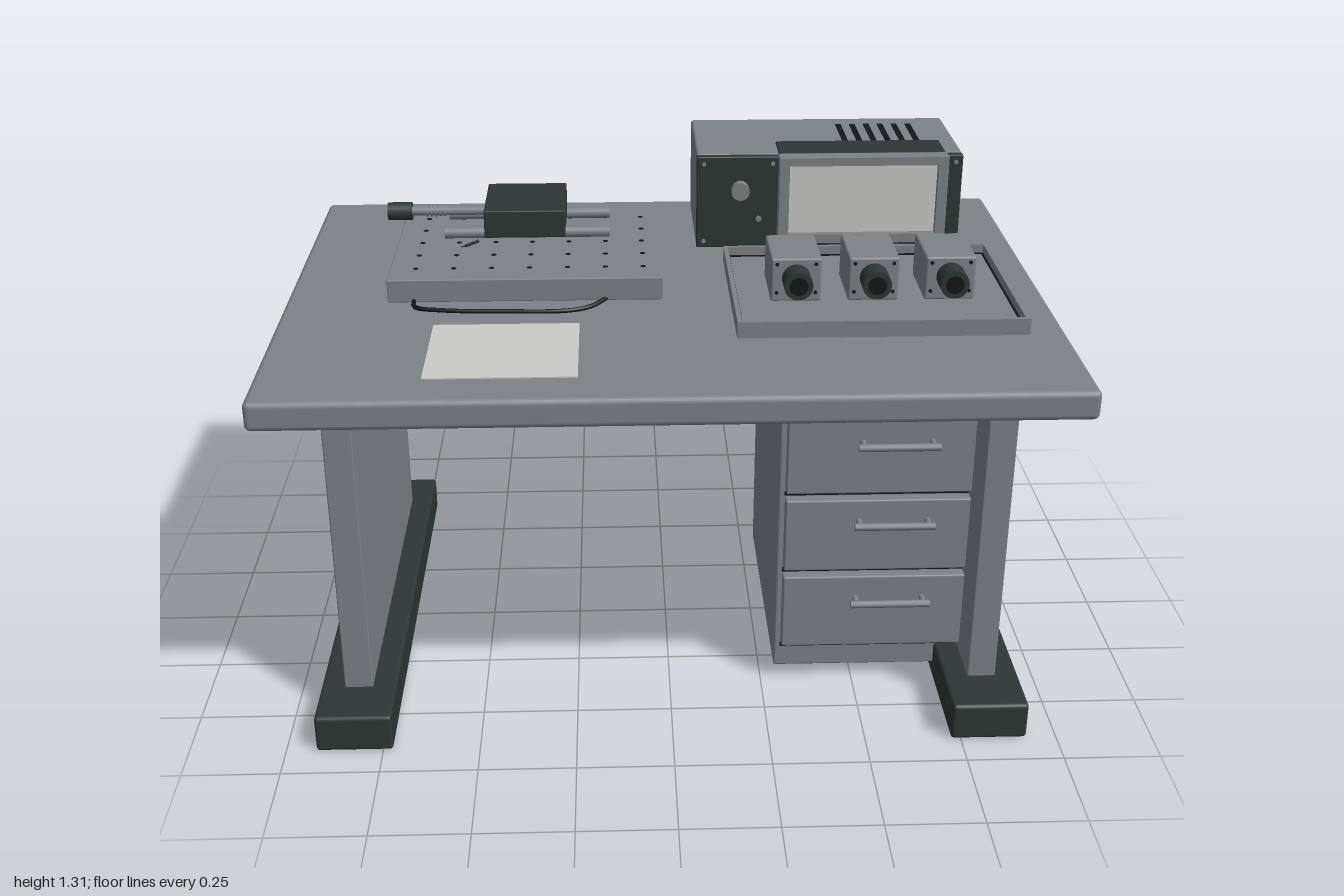
import * as THREE from 'three';
import { RoundedBoxGeometry } from 'three/addons/geometries/RoundedBoxGeometry.js';

const material = (name, color) => {
  const m = new THREE.MeshStandardMaterial({ color });
  m.name = name;
  return m;
};

export function createModel() {
  const model = new THREE.Group();
  model.name = 'electronicsWorkbench';
  const grey = material('steelGrey', 0x7d8287);
  const dark = material('darkGreen', 0x2d3735);
  const black = material('black', 0x121616);
  const white = material('paleGrey', 0xcbcbc9);

  const group = (name) => {
    const g = new THREE.Group();
    g.name = name;
    model.add(g);
    return g;
  };
  const add = (parent, name, geometry, mat) => {
    const mesh = new THREE.Mesh(geometry, mat);
    mesh.name = name;
    parent.add(mesh);
    return mesh;
  };
  // Box from its min and max on each axis, with optional rounded edges
  const box = (parent, name, mat, [x0, x1], [y0, y1], [z0, z1], r = 0) => {
    const s = [x1 - x0, y1 - y0, z1 - z0];
    const g = r ? new RoundedBoxGeometry(...s, 2, r) : new THREE.BoxGeometry(...s);
    const mesh = add(parent, name, g, mat);
    mesh.position.set((x0 + x1) / 2, (y0 + y1) / 2, (z0 + z1) / 2);
    return mesh;
  };
  // Cylinder centred at a point, along the given axis
  const rod = (parent, name, mat, axis, r, length, x, y, z, sides = 20) => {
    const g = new THREE.CylinderGeometry(r, r, length, sides);
    if (axis === 'x') g.rotateZ(Math.PI / 2);
    if (axis === 'z') g.rotateX(Math.PI / 2);
    const mesh = add(parent, name, g, mat);
    mesh.position.set(x, y, z);
    return mesh;
  };
  const tube = (parent, name, points, r) => {
    const curve = new THREE.CatmullRomCurve3(points.map((p) => new THREE.Vector3(...p)));
    return add(parent, name, new THREE.TubeGeometry(curve, 40, r, 8), black);
  };

  // Desk: top, side panels, feet and rear beam
  const desk = group('desk');
  box(desk, 'deskTop', grey, [-1, 1], [0.945, 1.02], [-0.72, 0.72], 0.015);
  for (const s of [-1, 1]) {
    const c = s * 0.823;
    box(desk, 'sidePanel', grey, [c - 0.037, c + 0.037], [0.09, 0.86], [-0.52, 0.52], 0.004);
    box(desk, 'foot', dark, [c - 0.099, c + 0.099], [0, 0.102], [-0.66, 0.66], 0.01);
  }
  box(desk, 'rearBeam', grey, [-0.86, 0.86], [0.705, 0.835], [-0.58, -0.515], 0.004);

  // Drawer cabinet
  const cabinet = group('drawerCabinet');
  box(cabinet, 'cabinetBody', grey, [0.285, 0.89], [0.04, 0.912], [-0.36, 0.36], 0.006);
  for (const [y0, y1, h] of [[0.585, 0.805, 0.735], [0.355, 0.565, 0.505], [0.12, 0.335, 0.27]]) {
    box(cabinet, 'drawerFront', grey, [0.302, 0.875], [y0, y1], [0.355, 0.39], 0.005);
    box(cabinet, 'drawerGap', black, [0.3, 0.877], [y0 - 0.016, y0 - 0.004], [0.358, 0.364]);
    rod(cabinet, 'handleBar', grey, 'x', 0.01, 0.21, 0.585, h, 0.425, 12);
    for (const x of [0.495, 0.675]) rod(cabinet, 'handlePost', grey, 'z', 0.008, 0.04, x, h, 0.405, 10);
  }

  // Measuring instrument: case, front panel and feet
  const scope = group('instrument');
  box(scope, 'case', grey, [0.095, 0.832], [1.037, 1.305], [-0.607, -0.26], 0.008);
  box(scope, 'frontPanel', dark, [0.095, 0.832], [1.04, 1.303], [-0.262, -0.238], 0.004);
  for (const x of [0.2, 0.725]) {
    for (const z of [-0.33, -0.54]) rod(scope, 'rubberFoot', dark, 'y', 0.02, 0.022, x, 1.03, z, 12);
  }
  // Framed display
  const frame = new THREE.Shape();
  frame.moveTo(0.32, 1.065).lineTo(0.785, 1.065).lineTo(0.785, 1.31).lineTo(0.32, 1.31).closePath();
  const opening = new THREE.Path();
  opening.moveTo(0.348, 1.09).lineTo(0.348, 1.287).lineTo(0.757, 1.287).lineTo(0.757, 1.09).closePath();
  frame.holes.push(opening);
  const bezel = new THREE.ExtrudeGeometry(frame, { depth: 0.045, bevelEnabled: false });
  add(scope, 'displayFrame', bezel, grey).position.z = -0.24;
  box(scope, 'screen', white, [0.346, 0.759], [1.088, 1.289], [-0.237, -0.215]);
  box(scope, 'displayHood', dark, [0.322, 0.783], [1.29, 1.311], [-0.36, -0.239], 0.004);
  for (let i = 0; i < 6; i++) {
    const x = 0.52 + i * 0.0405;
    box(scope, 'ventSlot', black, [x - 0.008, x + 0.008], [1.303, 1.307], [-0.54, -0.35]);
  }
  box(scope, 'rearLabel', white, [0.27, 0.66], [1.115, 1.23], [-0.61, -0.605]);
  // Panel controls
  rod(scope, 'controlKnob', grey, 'z', 0.025, 0.03, 0.215, 1.21, -0.226);
  rod(scope, 'indicator', grey, 'z', 0.008, 0.01, 0.268, 1.125, -0.235, 10);
  for (const x of [0.115, 0.305, 0.812]) {
    for (const y of [1.06, 1.283]) rod(scope, 'panelScrew', grey, 'z', 0.006, 0.006, x, y, -0.237, 8);
  }

  // Tray holding three sensor units
  const tray = group('tray');
  box(tray, 'trayFloor', grey, [0.165, 0.895], [1.035, 1.052], [-0.145, 0.408]);
  for (const x of [0.165, 0.883]) box(tray, 'trayRim', grey, [x, x + 0.012], [1.035, 1.078], [-0.145, 0.408]);
  for (const z of [-0.145, 0.396]) box(tray, 'trayRim', grey, [0.165, 0.895], [1.035, 1.078], [z, z + 0.012]);
  // Dark seam inside the rim
  for (const x of [0.177, 0.878]) box(tray, 'traySeam', black, [x, x + 0.005], [1.05, 1.055], [-0.133, 0.396]);
  for (const z of [-0.133, 0.391]) box(tray, 'traySeam', black, [0.177, 0.883], [1.05, 1.055], [z, z + 0.005]);
  for (const x of [0.33, 0.53, 0.728]) {
    box(tray, 'sensorBox', grey, [x - 0.065, x + 0.065], [1.05, 1.167], [0.017, 0.203], 0.006);
    rod(tray, 'sensorBarrel', dark, 'z', 0.037, 0.07, x, 1.115, 0.232, 28);
    rod(tray, 'sensorFace', black, 'z', 0.024, 0.004, x, 1.115, 0.267);
    for (const dx of [-0.05, 0.05]) {
      for (const y of [1.075, 1.152]) rod(tray, 'boxScrew', black, 'z', 0.005, 0.004, x + dx, y, 0.203, 8);
    }
  }

  // Perforated base plate
  const stage = group('slidingStage');
  box(stage, 'basePlate', grey, [-0.728, -0.01], [1.03, 1.092], [-0.402, 0.128], 0.003);
  for (let i = 0; i < 7; i++) {
    for (let j = 0; j < 5; j++) {
      rod(stage, 'plateHole', black, 'y', 0.007, 0.003, -0.66 + i * 0.1, 1.092, -0.355 + j * 0.1, 8);
    }
  }
  // Guide rods, carriage and adjusting screw
  for (const z of [-0.215, -0.06]) rod(stage, 'guideRod', grey, 'x', 0.015, 0.44, -0.368, 1.155, z);
  box(stage, 'carriage', dark, [-0.48, -0.265], [1.153, 1.228], [-0.257, -0.018], 0.004);
  rod(stage, 'adjustingScrew', grey, 'x', 0.012, 0.22, -0.58, 1.19, -0.14);
  for (let i = 0; i < 5; i++) rod(stage, 'screwThread', grey, 'x', 0.015, 0.006, -0.64 + i * 0.012, 1.19, -0.14);
  rod(stage, 'screwKnob', dark, 'x', 0.024, 0.065, -0.713, 1.19, -0.14);

  // Cables
  tube(stage, 'cable', [[-0.66, 1.035, 0.12], [-0.655, 1.03, 0.16], [-0.58, 1.03, 0.185],
    [-0.42, 1.03, 0.197], [-0.26, 1.03, 0.197], [-0.2, 1.03, 0.17], [-0.155, 1.035, 0.12]], 0.006);
  tube(stage, 'cableEnd', [[-0.555, 1.088, -0.12], [-0.53, 1.097, -0.128], [-0.505, 1.104, -0.136]], 0.004);

  // Sheet of paper
  box(model, 'paperSheet', white, [-0.598, -0.227], [1.019, 1.023], [0.265, 0.597]);

  return model;
}
